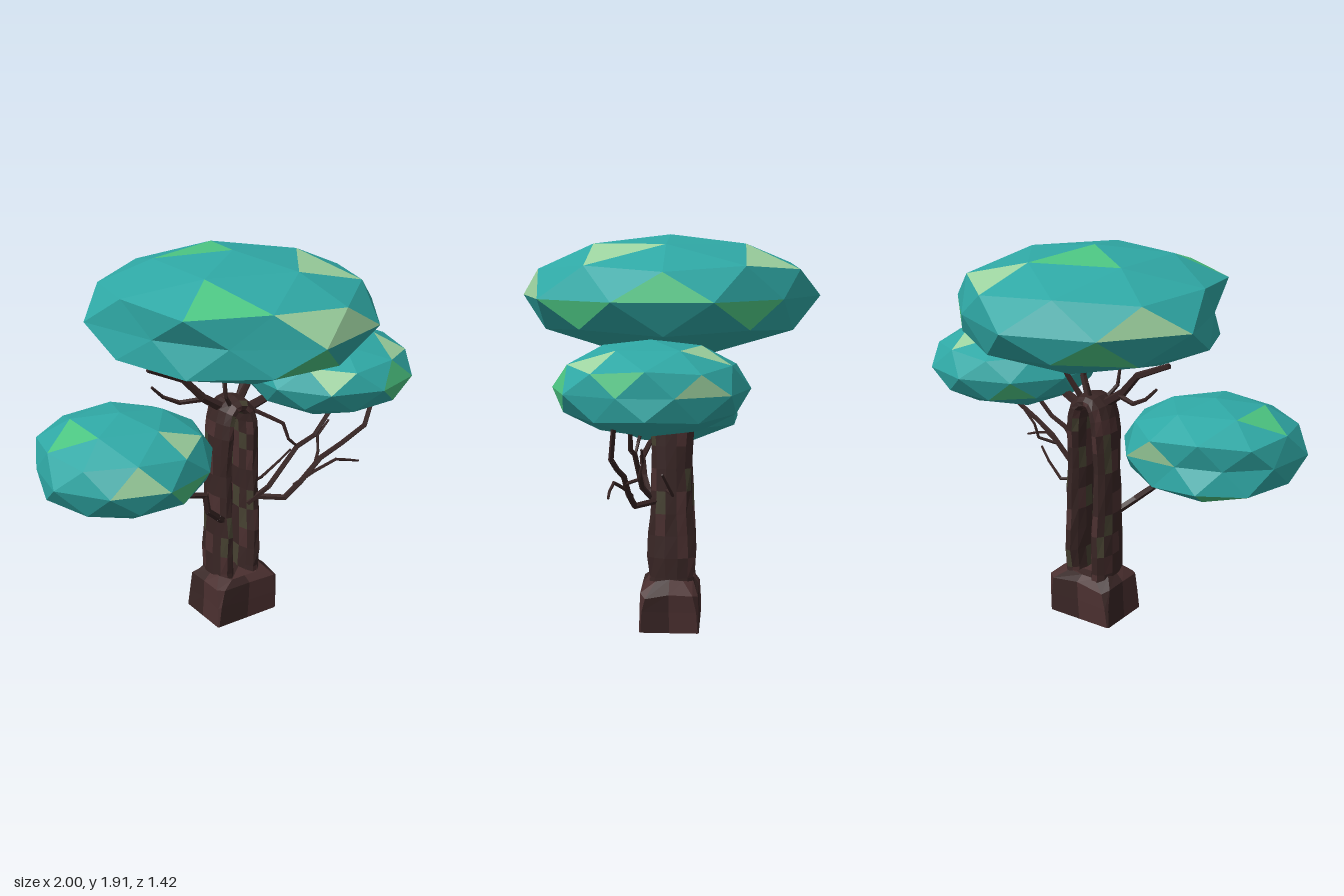
import * as THREE from 'three';
import { mergeGeometries } from 'three/addons/utils/BufferGeometryUtils.js';

const mat = (color) => new THREE.MeshStandardMaterial({ color, flatShading: true, roughness: 0.9 });
const LEAF = [0x2fa8a5, 0x9dd3a0, 0x4cc582].map(mat);
const BARK = [0x382524, 0x4a2f2f, 0x454030].map(mat);

const hash = (a, b = 0) => {
  const s = Math.sin(a * 127.1 + b * 311.7 + 7.3) * 43758.5453;
  return s - Math.floor(s);
};

// Splits a geometry's faces into one mesh per material
function paint(geo, mats, pick, name) {
  const pos = (geo.index ? geo.toNonIndexed() : geo).attributes.position.array;
  const bins = mats.map(() => []);
  for (let f = 0; f < pos.length / 9; f++) bins[pick(f)].push(...pos.slice(f * 9, f * 9 + 9));
  const group = new THREE.Group();
  group.name = name;
  bins.forEach((b, i) => {
    if (!b.length) return;
    const g = new THREE.BufferGeometry();
    g.setAttribute('position', new THREE.Float32BufferAttribute(b, 3));
    g.computeVertexNormals();
    const mesh = new THREE.Mesh(g, mats[i]);
    mesh.name = name + 'Shade' + i;
    group.add(mesh);
  });
  return group;
}

// Skins a list of rings (arrays of Vector3), capping both ends
function loft(rings) {
  const n = rings[0].length, idx = [];
  const pts = rings.flat();
  for (let i = 0; i < rings.length - 1; i++)
    for (let j = 0; j < n; j++) {
      const a = i * n + j, b = i * n + (j + 1) % n, c = a + n, d = b + n;
      idx.push(a, c, b, b, c, d);
    }
  const last = (rings.length - 1) * n;
  for (let j = 1; j < n - 1; j++) idx.push(0, j, j + 1, last, last + j + 1, last + j);
  const g = new THREE.BufferGeometry().setFromPoints(pts);
  g.setIndex(idx);
  return g;
}

// Faceted foliage: a pole-up icosphere, dented on its equator, with accent faces nearest given directions
function crown(name, center, size, turn, dents, pale, green) {
  const g = new THREE.IcosahedronGeometry(1, 1);
  g.rotateZ(Math.atan(2 / (1 + Math.sqrt(5)))).rotateY(turn);
  const p = g.attributes.position, v = new THREE.Vector3();
  const mids = [];
  for (let f = 0; f < p.count / 3; f++) {
    const m = new THREE.Vector3();
    for (let k = 0; k < 3; k++) m.add(v.fromBufferAttribute(p, f * 3 + k));
    mids.push(m.normalize());
  }
  const shade = mids.map(() => 0);
  [pale, green].forEach((list, s) => list.forEach((d) => {
    const dir = new THREE.Vector3(...d).normalize();
    let best = 0;
    mids.forEach((m, f) => { if (m.dot(dir) > mids[best].dot(dir)) best = f; });
    shade[best] = s + 1;
  }));
  for (let i = 0; i < p.count; i++) {
    v.fromBufferAttribute(p, i);
    if (Math.abs(v.y) < 0.05) {
      const deg = (Math.round(THREE.MathUtils.radToDeg(Math.atan2(v.z, v.x))) + 360) % 360;
      v.multiplyScalar(dents[deg] ?? 1);
    }
    p.setXYZ(i, v.x, v.y, v.z);
  }
  g.scale(...size).translate(...center);
  return paint(g, LEAF, (f) => shade[f], name);
}

// Crooked branch: tapered segments through points
function branch(name, r0, r1, pts) {
  const P = pts.map((a) => new THREE.Vector3(...a)), n = P.length - 1, parts = [];
  const up = new THREE.Vector3(0, 1, 0);
  for (let i = 0; i < n; i++) {
    const d = P[i + 1].clone().sub(P[i]), len = d.length();
    const rad = (k) => r0 + (r1 - r0) * k / n;
    const g = new THREE.CylinderGeometry(rad(i + 1), rad(i), len + rad(i + 1) * 0.6, 5);
    g.applyQuaternion(new THREE.Quaternion().setFromUnitVectors(up, d.normalize()));
    const mid = P[i].clone().lerp(P[i + 1], 0.5);
    parts.push(g.translate(mid.x, mid.y, mid.z));
  }
  const mesh = new THREE.Mesh(mergeGeometries(parts), BARK[0]);
  mesh.name = name;
  return mesh;
}

const barkPick = (f) => {
  const h = hash(Math.floor(f / 2), 3);
  return h < 0.72 ? 0 : h < 0.9 ? 1 : 2;
};

// Two trunk legs joined by an arch: one section swept up, over and down
function trunk() {
  const AX = 0.067, N = 12;
  const half = [ // x, y, half width, half depth
    [-0.008, 0.14, 0.06, 0.115], [-0.012, 0.26, 0.054, 0.105], [-0.015, 0.36, 0.052, 0.112],
    [-0.013, 0.47, 0.05, 0.11], [-0.015, 0.58, 0.05, 0.1], [-0.014, 0.69, 0.048, 0.098],
    [-0.012, 0.8, 0.048, 0.092], [-0.01, 0.91, 0.047, 0.097], [-0.006, 1.0, 0.047, 0.103],
    [0, 1.07, 0.045, 0.105], [0.014, 1.12, 0.042, 0.1], [0.04, 1.145, 0.04, 0.092],
  ];
  const path = [...half, [AX, 1.15, 0.04, 0.09], ...half.map(([x, ...r]) => [2 * AX - x, ...r]).reverse()];
  const rings = path.map(([x, y, w, d], i) => {
    const a = path[Math.max(i - 1, 0)], b = path[Math.min(i + 1, path.length - 1)];
    const t = new THREE.Vector2(b[0] - a[0], b[1] - a[1]).normalize();
    return Array.from({ length: N }, (_, j) => {
      const ang = (j + 0.5) / N * Math.PI * 2, k = 0.95 + 0.1 * hash(i, j);
      const c = Math.cos(ang) * w * k * 1.05, s = Math.sin(ang) * d * k * 1.05;
      return new THREE.Vector3(x + t.y * c, y - t.x * c, s - 0.008);
    });
  });
  return paint(loft(rings), BARK, barkPick, 'trunk');
}

// Square root flare with chamfered corners, drawn in at the top
function base() {
  const levels = [[0, 0.067, 0.182, 0.145, 0.96], [0.1, 0.075, 0.182, 0.144, 0.92],
    [0.19, 0.082, 0.186, 0.14, 0.82], [0.245, 0.07, 0.13, 0.112, 0.6]];
  const rings = levels.map(([y, cx, w, d, k]) =>
    [[1, -k], [1, 0], [1, k], [k, 1], [0, 1], [-k, 1], [-1, k], [-1, 0], [-1, -k], [-k, -1], [0, -1], [k, -1]]
      .map(([a, b], j) => new THREE.Vector3(cx + a * w, y && y + (hash(j, y) - 0.5) * 0.03, b * d)));
  return paint(loft(rings), BARK, (f) => (hash(Math.floor(f / 2) % 12, 5) < 0.5 ? 1 : 0), 'rootFlare');
}

export function createModel() {
  const model = new THREE.Group();
  model.name = 'tree';
  model.add(base(), trunk());

  // Foliage
  model.add(
    crown('topCrown', [0.065, 1.625, 0], [0.71, 0.285, 0.71], Math.PI,
      { 126: 0.84, 162: 0.82, 306: 0.91 },
      [[0.46, 0.83, 0.32], [0.4, 0.6, -0.65], [-0.72, 0.4, -0.52], [0.02, 0.3, 0.87], [0.3, 0.15, 0.87]],
      [[-0.05, 0.93, -0.3], [-0.49, 0.75, 0.5], [0.1, -0.25, 0.9], [0.75, -0.25, 0.55], [0.95, 0.25, 0],
        [0.7, -0.2, -0.6], [-0.6, -0.3, -0.6]]),
    crown('rightCrown', [-0.585, 1.033, 0.045], [0.436, 0.23, 0.436], Math.PI,
      { 198: 0.9, 234: 0.8, 270: 0.8 },
      [[-0.25, 0.25, 0.9], [0.4, 0.6, 0.65], [0.3, 0.3, -0.9], [-0.7, -0.5, 0.4]],
      [[0.2, -0.2, 0.9], [-0.5, 0.85, -0.2], [-0.4, -0.5, -0.7]]),
    crown('leftCrown', [0.61, 1.25, 0.055], [0.436, 0.21, 0.436], 0,
      { 18: 0.89, 342: 0.89 },
      [[-0.45, 0.35, 0.8], [0.6, 0.6, 0.5], [0.85, 0.2, -0.45], [0.2, 0.6, -0.75]],
      [[0.35, 0.35, 0.85], [0.3, -0.35, 0.85], [0.9, 0.4, 0.1], [-0.5, -0.3, -0.7]]));

  // Branches on the right side
  model.add(branch('rightBranch', 0.02, 0.013,
    [[-0.02, 0.55, 0.05], [-0.1, 0.62, 0.12], [-0.18, 0.69, 0.15], [-0.2, 0.785, 0.16], [-0.36, 0.82, 0.14], [-0.52, 0.88, 0.1]]));

  // Branches on the left side
  const left = [
    [0.016, 0.012, [[0.15, 0.64, 0.05], [0.28, 0.64, 0.16], [0.36, 0.71, 0.18], [0.48, 0.82, 0.19], [0.6, 0.88, 0.21], [0.74, 0.95, 0.22], [0.81, 1.1, 0.2]]],
    [0.015, 0.011, [[0.12, 0.62, 0.07], [0.2, 0.71, 0.13], [0.36, 0.9, 0.15], [0.46, 0.94, 0.16], [0.61, 1.1, 0.15]]],
    [0.01, 0.006, [[0.33, 0.7, 0.17], [0.43, 0.76, 0.2], [0.55, 0.81, 0.23], [0.63, 0.79, 0.24], [0.69, 0.77, 0.24]]],
    [0.009, 0.006, [[0.44, 0.78, 0.19], [0.52, 0.82, 0.12], [0.53, 0.9, 0.1], [0.6, 0.97, 0.1]]],
    [0.009, 0.006, [[0.17, 0.7, 0.02], [0.27, 0.69, -0.02], [0.36, 0.76, 0], [0.42, 0.82, 0.02]]],
    [0.012, 0.007, [[0.17, 1.1, 0.03], [0.24, 1.06, 0.08], [0.29, 1.03, 0.12], [0.31, 0.95, 0.14], [0.36, 0.9, 0.15]]],
    [0.026, 0.016, [[0.15, 1.1, 0], [0.28, 1.15, 0.02], [0.42, 1.2, 0.04]]],
  ];
  left.forEach((b, i) => model.add(branch('leftBranch' + i, ...b)));

  // Branches reaching into the top crown
  const top = [
    [0.026, 0.014, [[0.02, 1.13, 0], [-0.1, 1.21, -0.01], [-0.2, 1.32, -0.03], [-0.38, 1.4, -0.04]]],
    [0.014, 0.007, [[-0.08, 1.2, -0.01], [-0.2, 1.19, -0.06], [-0.28, 1.23, -0.08], [-0.34, 1.29, -0.08]]],
    [0.013, 0.007, [[0.03, 1.15, 0.04], [-0.02, 1.22, 0.07], [-0.03, 1.32, 0.08]]],
    [0.02, 0.013, [[0.1, 1.14, 0], [0.15, 1.25, 0.02], [0.15, 1.4, 0.04]]],
    [0.016, 0.01, [[0.12, 1.15, -0.03], [0.19, 1.27, -0.06], [0.24, 1.4, -0.1]]],
    [0.013, 0.006, [[0.06, 1.15, -0.04], [0.06, 1.25, -0.07]]],
  ];
  top.forEach((b, i) => model.add(branch('topBranch' + i, ...b)));
  return model;
}
